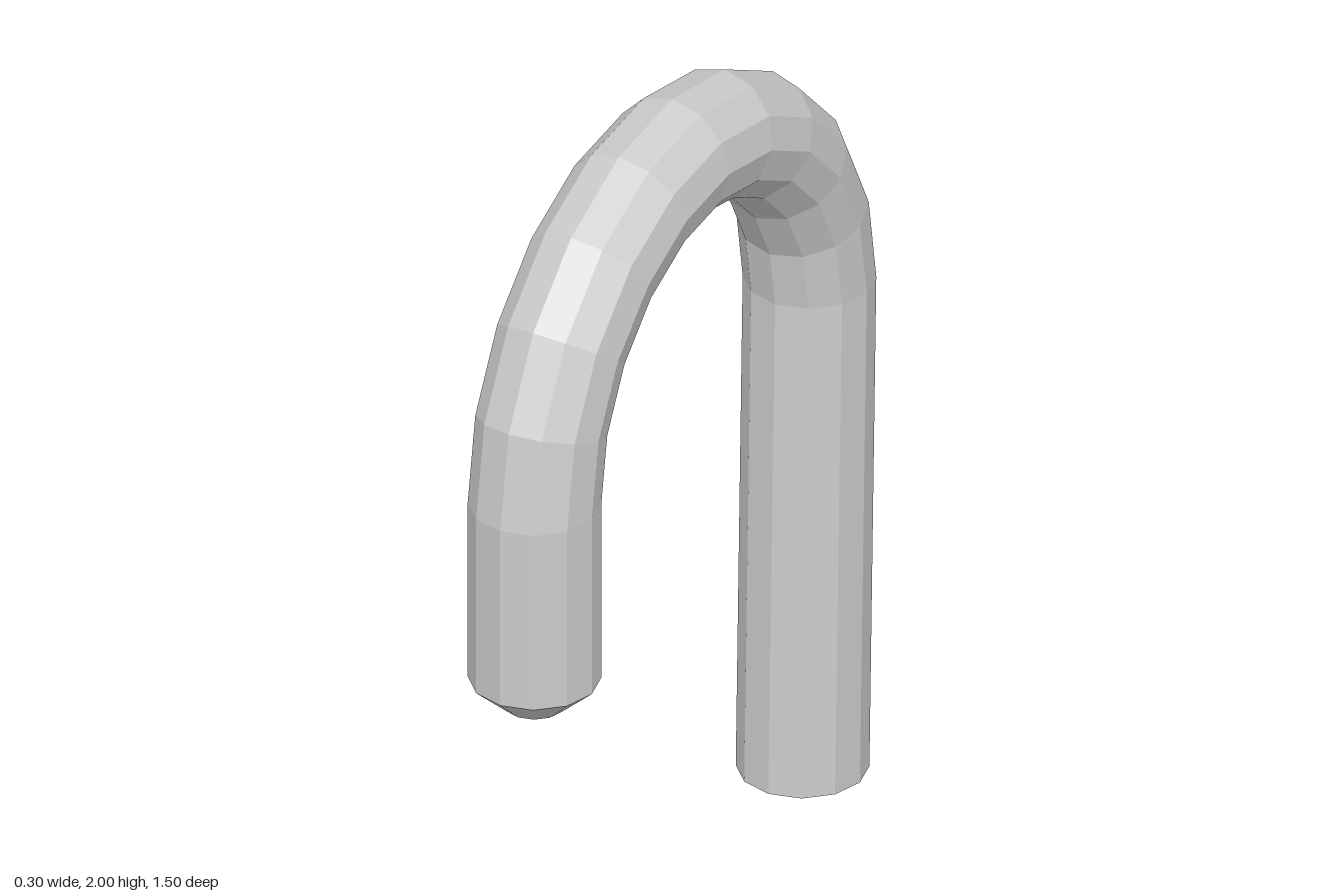
import * as THREE from 'three';

const SIDES = 12, TUBE = 0.15, BEND = 0.6, BEND_Y = 1.25;

// Ring across the tube: centre (y, z), radius and outward tilt in the yz plane
function ring(y, z, r, tilt) {
  return Array.from({ length: SIDES }, (_, j) => {
    const a = (j / SIDES) * Math.PI * 2;
    const out = Math.sin(a) * r;
    return new THREE.Vector3(Math.cos(a) * r, y + out * Math.sin(tilt), z + out * Math.cos(tilt));
  });
}

// Skin a list of rings, optionally closing the first or last one
function loft(name, rings, material, capStart, capEnd) {
  const pos = [];
  const tri = (...pts) => pts.forEach((p) => pos.push(p.x, p.y, p.z));
  const centre = (r) => r.reduce((s, p) => s.add(p), new THREE.Vector3()).divideScalar(SIDES);
  const first = rings[0], last = rings[rings.length - 1];
  for (let j = 0; j < SIDES; j++) {
    const k = (j + 1) % SIDES;
    for (let i = 0; i < rings.length - 1; i++) {
      const a = rings[i], b = rings[i + 1];
      tri(a[j], b[j], a[k]);
      tri(a[k], b[j], b[k]);
    }
    if (capStart) tri(centre(first), first[j], first[k]);
    if (capEnd) tri(centre(last), last[k], last[j]);
  }
  const geo = new THREE.BufferGeometry();
  geo.setAttribute('position', new THREE.Float32BufferAttribute(pos, 3));
  geo.computeVertexNormals();
  const mesh = new THREE.Mesh(geo, material);
  mesh.name = name;
  return mesh;
}

export function createModel() {
  const group = new THREE.Group();
  group.name = 'cane';
  const grey = new THREE.MeshStandardMaterial({ color: 0xcccccc, flatShading: true });

  // Half-circle bend, from the front leg over to the back
  const bend = [];
  for (let i = 0; i <= 10; i++) {
    const t = (i / 10) * Math.PI;
    bend.push(ring(BEND_Y + BEND * Math.sin(t), BEND * Math.cos(t), TUBE, t));
  }
  const tipTop = ring(0.8, BEND, TUBE, 0);

  group.add(
    loft('hookTip', [ring(0.73, BEND, 0.07, 0), tipTop], grey, true, false),
    loft('hookEnd', [tipTop, bend[0]], grey, false, false),
    loft('bend', bend, grey, false, false),
    // Shaft leans slightly forward towards its foot
    loft('shaft', [bend[10], ring(0, -0.57, TUBE, Math.PI)], grey, false, true),
  );
  return group;
}
